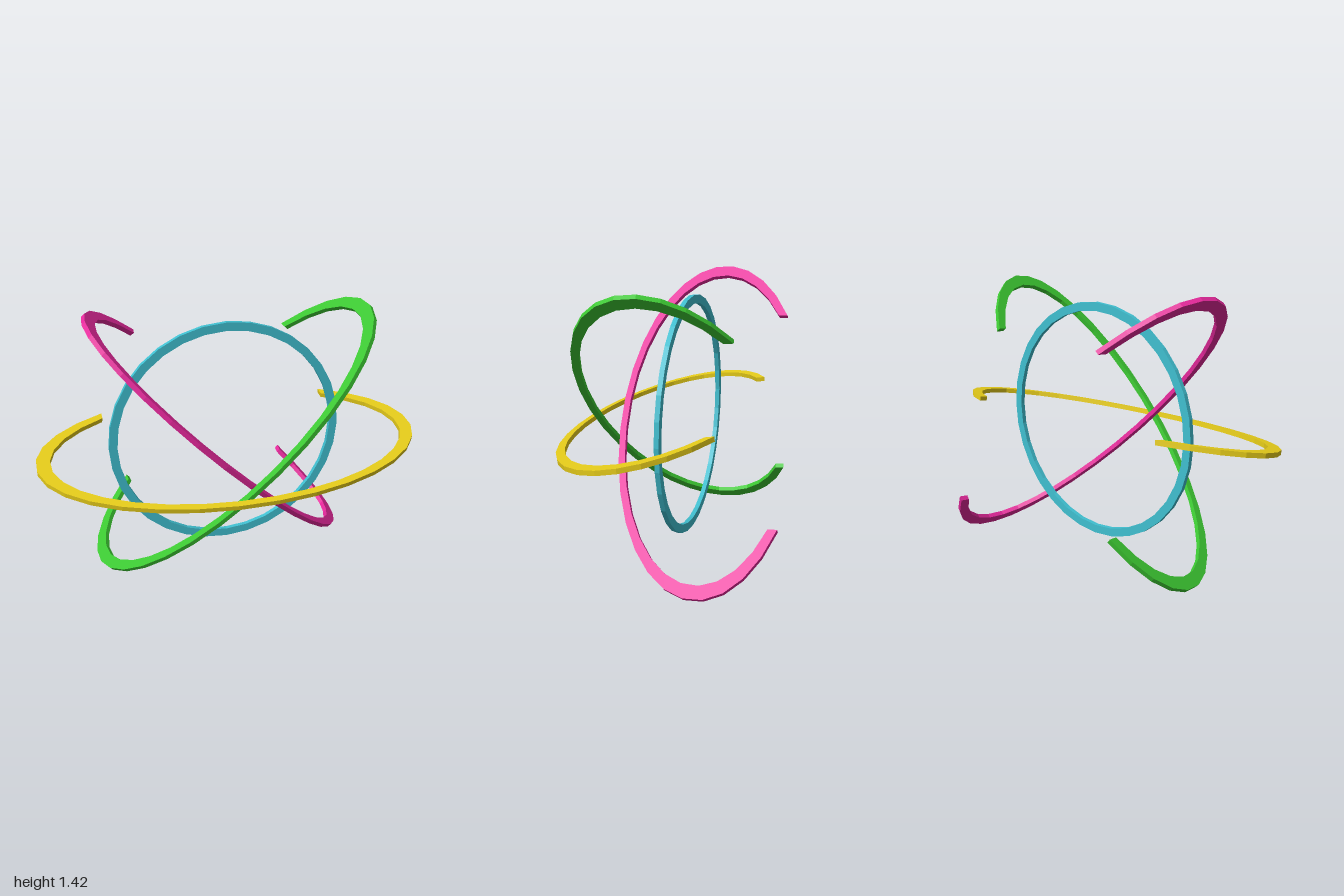
import * as THREE from 'three';

const CENTER_Y = 0.709;
const RING_R = 0.625;   // round ring outer radius; the orbits stop where they pass behind it
const INNER = 0.93;     // inner / outer radius
const HALF = 0.012;     // half thickness
const SEGS = 25;

const material = (color) => new THREE.MeshStandardMaterial({ color, flatShading: true });

// Open elliptical band, spun about z, then tilted about x
function orbit(name, color, spin, z) {
  const euler = new THREE.Euler(THREE.MathUtils.degToRad(10), 0, spin);
  const point = (t, [k, h]) =>
    new THREE.Vector3(k * Math.cos(t), h, 0.5 * k * Math.sin(t)).applyEuler(euler);

  // Angle at which one edge of the band meets the round ring's outline
  const cutAngle = (from, to, corner) => {
    for (let i = 0; i < 30; i++) {
      const mid = (from + to) / 2;
      const p = point(mid, corner);
      if (Math.hypot(p.x, p.y) > RING_R) from = mid; else to = mid;
    }
    return from;
  };

  const corners = [[1, HALF], [1, -HALF], [INNER, -HALF], [INNER, HALF]];
  const ends = corners.map((c) => [
    cutAngle(0, -Math.PI / 2, c),
    cutAngle(Math.PI, Math.PI * 1.5, c),
  ]);

  // Cross-sections along the band
  const pos = [];
  const index = [];
  for (let i = 0; i <= SEGS; i++) {
    corners.forEach((c, j) => {
      const t = THREE.MathUtils.lerp(ends[j][0], ends[j][1], i / SEGS);
      pos.push(...point(t, c).toArray());
    });
  }
  for (let i = 0; i < SEGS; i++) {
    for (let j = 0; j < 4; j++) {
      const a = i * 4 + j;
      const b = i * 4 + (j + 1) % 4;
      index.push(a, a + 4, b, b, a + 4, b + 4);
    }
  }
  // End caps
  const e = SEGS * 4;
  index.push(0, 1, 2, 0, 2, 3, e, e + 3, e + 2, e, e + 2, e + 1);

  const indexed = new THREE.BufferGeometry();
  indexed.setAttribute('position', new THREE.Float32BufferAttribute(pos, 3));
  indexed.setIndex(index);
  const geometry = indexed.toNonIndexed();
  geometry.computeVertexNormals();

  const mesh = new THREE.Mesh(geometry, material(color));
  mesh.name = name;
  mesh.position.set(0, CENTER_Y, z);
  return mesh;
}

// Closed round ring standing upright
function roundRing() {
  const r = RING_R * INNER;
  const profile = [[r, -HALF], [RING_R, -HALF], [RING_R, HALF], [r, HALF], [r, -HALF]]
    .map(([x, y]) => new THREE.Vector2(x, y));
  const mesh = new THREE.Mesh(new THREE.LatheGeometry(profile, 32), material(0x40bfd0));
  mesh.name = 'roundRing';
  mesh.rotation.x = Math.PI / 2;
  mesh.position.set(0, CENTER_Y, -0.025);
  return mesh;
}

export function createModel() {
  const group = new THREE.Group();
  group.name = 'orbitRings';
  group.add(
    roundRing(),
    orbit('levelOrbit', 0xe6cc1a, 0, 0.087),
    orbit('leftRisingOrbit', 0x3cc832, Math.PI / 4, -0.003),
    orbit('rightRisingOrbit', 0xe6289c, -Math.PI / 4, -0.125),
  );
  return group;
}
